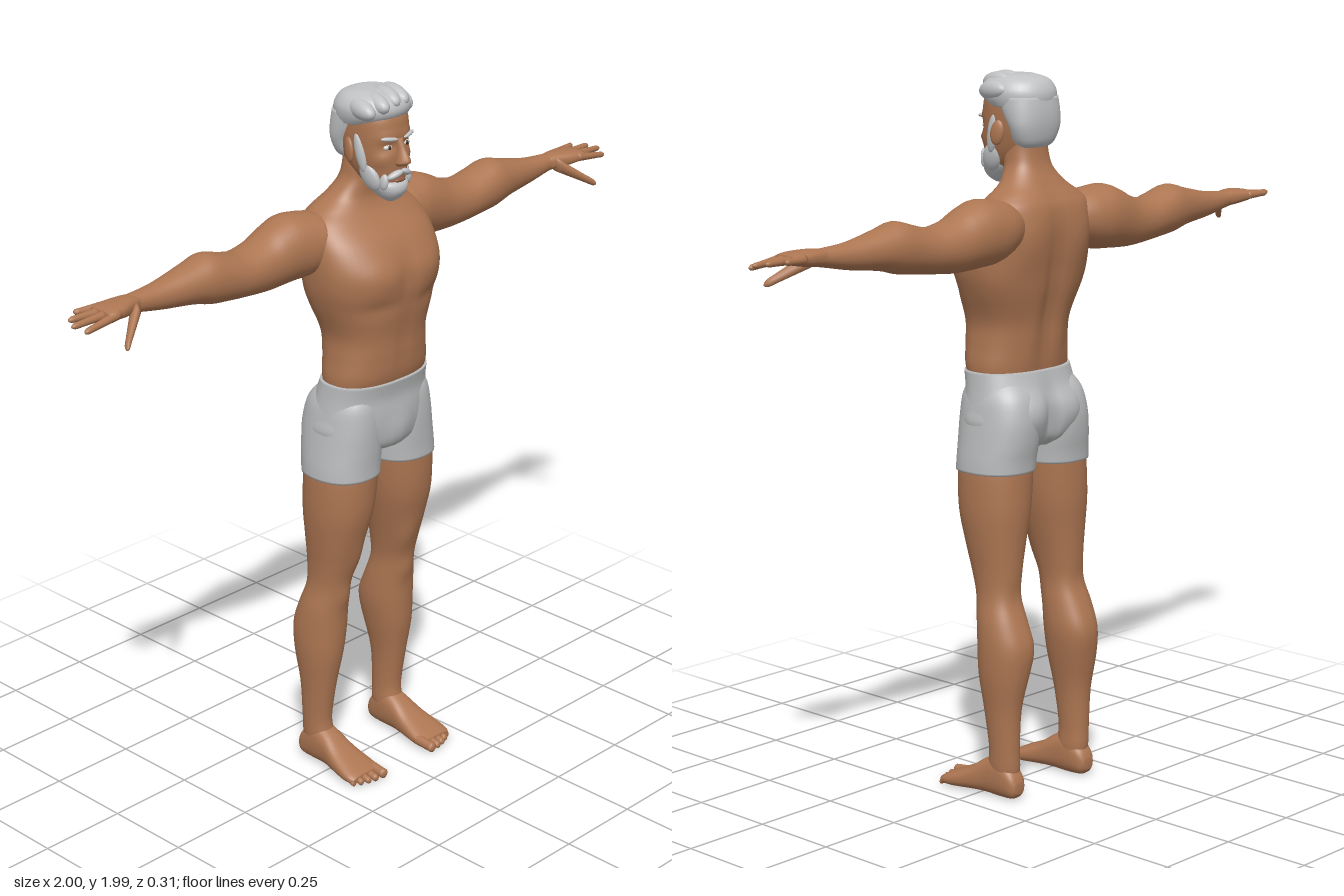
import * as THREE from 'three';

const mat = (name, color) => Object.assign(new THREE.MeshStandardMaterial({ color }), { name });

// Smooth loft of superelliptic rings along an axis. Ring: [t, aMin, aMax, bMin, bMax],
// where (a, b) = (y, z) along x, (z, x) along y and (x, y) along z.
function loft(rings, axis, { n = 2, segs = 32, steps = 4 } = {}) {
  const at = (i) => rings[Math.min(Math.max(i, 0), rings.length - 1)];
  const fine = [];
  for (let i = 0; i < rings.length - 1; i++) {
    for (let s = 0; s < steps; s++) {
      const u = s / steps;
      fine.push(at(i).map((p1, k) => {
        const p0 = at(i - 1)[k], p2 = at(i + 1)[k], p3 = at(i + 2)[k];
        return p1 + 0.5 * u * (p2 - p0 + u * (2 * p0 - 5 * p1 + 4 * p2 - p3 + u * (3 * (p1 - p2) + p3 - p0)));
      }));
    }
  }
  fine.push(at(rings.length));
  const pos = [], idx = [];
  const put = (t, a, b) => pos.push(...(axis === 'x' ? [t, a, b] : axis === 'y' ? [b, t, a] : [a, b, t]));
  const bend = (v) => Math.sign(v) * Math.abs(v) ** (2 / n);
  for (const [t, a0, a1, b0, b1] of fine) {
    for (let j = 0; j < segs; j++) {
      const w = (j / segs) * Math.PI * 2;
      put(t, (a0 + a1) / 2 + (a1 - a0) / 2 * bend(Math.cos(w)), (b0 + b1) / 2 + (b1 - b0) / 2 * bend(Math.sin(w)));
    }
  }
  const last = fine.length - 1, c0 = fine.length * segs;
  for (const f of [fine[0], fine[last]]) put(f[0], (f[1] + f[2]) / 2, (f[3] + f[4]) / 2);
  for (let j = 0; j < segs; j++) {
    const k = (j + 1) % segs;
    for (let i = 0; i < last; i++) {
      const a = i * segs + j, b = i * segs + k;
      idx.push(a, b, b + segs, a, b + segs, a + segs);
    }
    idx.push(c0, k, j, c0 + 1, last * segs + j, last * segs + k);
  }
  const g = new THREE.BufferGeometry();
  g.setAttribute('position', new THREE.Float32BufferAttribute(pos, 3));
  g.setIndex(idx);
  g.computeVertexNormals();
  return g;
}

// Push the surface in or out around points: [x, y, z, rx, ry, rz, amount], on both sides of x = 0.
function swell(g, bumps) {
  const p = g.attributes.position, nor = g.attributes.normal;
  for (let i = 0; i < p.count; i++) {
    let d = 0;
    for (const [x, y, z, rx, ry, rz, amount] of bumps) {
      const q = ((Math.abs(p.getX(i)) - x) / rx) ** 2 + ((p.getY(i) - y) / ry) ** 2 + ((p.getZ(i) - z) / rz) ** 2;
      d += amount * Math.exp(-q);
    }
    p.setXYZ(i, p.getX(i) + nor.getX(i) * d, p.getY(i) + nor.getY(i) * d, p.getZ(i) + nor.getZ(i) * d);
  }
  g.computeVertexNormals();
  return g;
}

function mirrored(g) {
  const m = g.clone().scale(-1, 1, 1), ix = m.index.array;
  for (let i = 0; i < ix.length; i += 3) [ix[i], ix[i + 1]] = [ix[i + 1], ix[i]];
  m.computeVertexNormals();
  return m;
}

export function createModel() {
  const root = new THREE.Group();
  root.name = 'standingMan';
  const skin = mat('skin', 0xad7652), hair = mat('greyHair', 0xc0c2c4), cloth = mat('shortsCloth', 0xb9babb);
  const white = mat('eyeWhite', 0xd8d4cc), dark = mat('iris', 0x3a2a20), lip = mat('lips', 0x8e5844);

  const add = (name, g, m) => {
    const mesh = new THREE.Mesh(g, m);
    mesh.name = name;
    root.add(mesh);
  };
  const pair = (name, g, m) => {
    add(name + 'Left', g, m);
    add(name + 'Right', mirrored(g), m);
  };
  const ball = ([x, y, z], [rx, ry, rz], [ax, ay, az] = [0, 0, 0]) =>
    new THREE.SphereGeometry(1, 20, 14).scale(rx, ry, rz).rotateX(ax).rotateY(ay).rotateZ(az).translate(x, y, z);
  // Tapered round digit running along x or z
  const digit = (from, to, r0, r1, axis) => loft([0, 0.25, 0.5, 0.75, 0.93, 1].map((u, i) => {
    const [x, y, z] = from.map((v, k) => v + (to[k] - v) * u);
    const r = i === 5 ? r1 * 0.35 : r0 + (r1 - r0) * u;
    return axis === 'x' ? [x, y - r, y + r, z - r, z + r] : [z, x - r, x + r, y - r, y + r];
  }), axis, { segs: 12, steps: 2 });

  // Torso and neck, with chest, shoulder blades and spine groove
  const torso = loft([
    [1.15, -0.08, 0.095, -0.155, 0.155], [1.2, -0.088, 0.115, -0.161, 0.161], [1.26, -0.095, 0.122, -0.154, 0.154],
    [1.32, -0.105, 0.126, -0.153, 0.153], [1.4, -0.128, 0.138, -0.178, 0.178], [1.46, -0.138, 0.143, -0.196, 0.196],
    [1.52, -0.145, 0.137, -0.203, 0.203], [1.58, -0.147, 0.105, -0.2, 0.2], [1.63, -0.14, 0.055, -0.185, 0.185],
    [1.66, -0.125, 0.03, -0.15, 0.15], [1.69, -0.105, 0.02, -0.105, 0.105], [1.73, -0.082, 0.024, -0.072, 0.072],
    [1.77, -0.072, 0.03, -0.063, 0.063], [1.82, -0.068, 0.03, -0.06, 0.06],
  ], 'y', { n: 2.4, segs: 56, steps: 5 });
  add('torso', swell(torso, [
    [0.09, 1.49, 0.13, 0.07, 0.05, 0.07, 0.011], [0, 1.5, 0.14, 0.015, 0.07, 0.05, -0.008],
    [0.1, 1.55, -0.14, 0.05, 0.08, 0.06, 0.01], [0, 1.4, -0.14, 0.03, 0.2, 0.07, -0.02],
    [0.05, 1.27, -0.1, 0.03, 0.09, 0.05, 0.006], [0, 1.3, 0.13, 0.012, 0.1, 0.04, -0.004],
    [0.09, 1.41, 0.12, 0.06, 0.02, 0.06, -0.005], [0.17, 1.43, -0.05, 0.04, 0.07, 0.08, 0.006],
  ]), skin);

  // Arms
  pair('arm', loft([
    [0.08, 1.55, 1.63, -0.11, -0.03], [0.15, 1.51, 1.655, -0.145, 0.02], [0.2, 1.492, 1.664, -0.155, 0.02],
    [0.25, 1.488, 1.667, -0.155, 0.012], [0.3, 1.485, 1.65, -0.15, 0.006], [0.35, 1.484, 1.626, -0.145, 0.002],
    [0.42, 1.49, 1.612, -0.14, 0.002], [0.48, 1.496, 1.624, -0.135, 0.002], [0.54, 1.503, 1.639, -0.13, 0],
    [0.6, 1.518, 1.625, -0.121, -0.01], [0.7, 1.531, 1.604, -0.103, -0.028], [0.78, 1.546, 1.597, -0.092, -0.036],
    [0.83, 1.555, 1.595, -0.09, -0.035],
  ], 'x', { n: 2.1 }), skin);

  // Hands: palm, four fingers and thumb
  pair('palm', loft([
    [0.77, 1.55, 1.592, -0.088, -0.04], [0.81, 1.552, 1.597, -0.092, -0.027], [0.85, 1.556, 1.597, -0.097, -0.012],
    [0.885, 1.562, 1.594, -0.099, -0.006], [0.905, 1.568, 1.589, -0.09, -0.012],
  ], 'x', { n: 2.6 }), skin);
  [[-0.088, -0.1, 0.945, 1.58], [-0.064, -0.073, 0.985, 1.577], [-0.04, -0.043, 1, 1.572], [-0.017, -0.012, 0.985, 1.562]]
    .forEach(([z0, z1, x, y], i) =>
      pair('finger' + (i + 1), digit([0.87, 1.578, z0], [x, y, z1], 0.0125, 0.0075, 'x'), skin));
  pair('thumb', digit([0.8, 1.568, -0.035], [0.895, 1.505, 0.035], 0.02, 0.009, 'x'), skin);

  // Legs, with knee and calf
  pair('leg', swell(loft([
    [0.03, -0.105, -0.04, 0.115, 0.165], [0.08, -0.118, -0.022, 0.105, 0.177], [0.14, -0.118, -0.028, 0.106, 0.18],
    [0.25, -0.122, -0.012, 0.098, 0.188], [0.35, -0.14, 0.006, 0.079, 0.2], [0.43, -0.146, 0.012, 0.067, 0.202],
    [0.5, -0.125, 0.016, 0.068, 0.197], [0.57, -0.103, 0.025, 0.073, 0.184], [0.64, -0.102, 0.045, 0.063, 0.186],
    [0.72, -0.107, 0.068, 0.045, 0.196], [0.81, -0.114, 0.09, 0.025, 0.205], [0.92, -0.113, 0.096, 0.012, 0.203],
    [0.97, -0.11, 0.09, 0.012, 0.19],
  ], 'y', { n: 2.15, segs: 40 }), [
    [0.125, 0.54, 0.03, 0.03, 0.035, 0.04, 0.008], [0.1, 0.66, 0.05, 0.025, 0.05, 0.05, 0.006],
    [0.13, 0.55, -0.1, 0.03, 0.05, 0.03, -0.006], [0.1, 0.42, -0.13, 0.025, 0.07, 0.05, 0.005],
  ]), skin);

  // Feet and toes
  pair('foot', loft([
    [-0.13, 0.125, 0.16, 0.02, 0.05], [-0.115, 0.112, 0.173, 0.004, 0.08], [-0.07, 0.104, 0.179, 0, 0.12],
    [-0.02, 0.1, 0.183, 0.002, 0.105], [0.03, 0.093, 0.194, 0.002, 0.073], [0.08, 0.086, 0.203, 0, 0.05],
    [0.11, 0.087, 0.203, 0.002, 0.037], [0.125, 0.095, 0.195, 0.008, 0.028],
  ], 'z', { n: 2.5 }), skin);
  [[0.101, 0.156, 0.016], [0.129, 0.152, 0.012], [0.152, 0.146, 0.011], [0.173, 0.137, 0.011], [0.192, 0.125, 0.01]]
    .forEach(([x, z, r], i) => pair('toe' + (i + 1), digit([x, 0.022, 0.09], [x, r, z], r, r * 0.85, 'z'), skin));

  // Shorts: seat and two short legs
  add('shortsSeat', swell(loft([
    [0.97, -0.08, 0.06, -0.08, 0.08], [0.995, -0.11, 0.095, -0.15, 0.15], [1.04, -0.122, 0.106, -0.189, 0.189],
    [1.09, -0.122, 0.11, -0.181, 0.181], [1.14, -0.105, 0.108, -0.172, 0.172], [1.185, -0.092, 0.116, -0.166, 0.166],
  ], 'y', { n: 2.4, segs: 56, steps: 5 }), [
    [0.08, 1.07, -0.12, 0.055, 0.06, 0.06, 0.018], [0, 1.06, -0.12, 0.02, 0.08, 0.06, -0.02],
    [0, 1.03, 0.11, 0.04, 0.05, 0.05, 0.013],
  ]), cloth);
  pair('shortsLeg', loft([
    [0.915, -0.117, 0.1, 0.008, 0.208], [0.95, -0.12, 0.1, 0.006, 0.205], [1, -0.128, 0.102, 0.004, 0.197],
    [1.06, -0.13, 0.103, 0.006, 0.187], [1.12, -0.115, 0.098, 0.012, 0.174], [1.16, -0.08, 0.08, 0.03, 0.15],
  ], 'y', { n: 2.25, segs: 40 }), cloth);

  // Head, with eye sockets and cheekbones
  add('head', swell(loft([
    [1.705, 0.03, 0.08, -0.025, 0.025], [1.73, -0.005, 0.1, -0.048, 0.048], [1.77, -0.055, 0.107, -0.066, 0.066],
    [1.82, -0.08, 0.108, -0.077, 0.077], [1.87, -0.088, 0.107, -0.081, 0.081], [1.92, -0.083, 0.098, -0.077, 0.077],
    [1.955, -0.05, 0.06, -0.05, 0.05],
  ], 'y', { n: 2.3, segs: 48, steps: 5 }), [
    [0.033, 1.838, 0.1, 0.02, 0.014, 0.04, -0.008], [0.03, 1.867, 0.1, 0.035, 0.012, 0.04, 0.004],
    [0.05, 1.805, 0.09, 0.02, 0.018, 0.04, 0.005],
  ]), skin);
  add('nose', loft([
    [1.785, 0.1, 0.118, -0.012, 0.012], [1.793, 0.09, 0.135, -0.019, 0.019], [1.803, 0.09, 0.142, -0.017, 0.017],
    [1.83, 0.09, 0.126, -0.011, 0.011], [1.86, 0.09, 0.112, -0.011, 0.011],
  ], 'y', { segs: 16 }), skin);
  pair('ear', ball([0.086, 1.825, 0.005], [0.009, 0.034, 0.02], [-0.15, 0.3, 0]), skin);
  pair('eye', ball([0.033, 1.838, 0.094], [0.015, 0.007, 0.008]), white);
  pair('iris', ball([0.033, 1.838, 0.1], [0.005, 0.006, 0.004]), dark);
  pair('eyebrow', ball([0.036, 1.862, 0.103], [0.026, 0.006, 0.008], [0, 0.3, 0.12]), hair);
  add('mouth', ball([0, 1.746, 0.107], [0.02, 0.006, 0.008]), lip);

  // Beard, jaw hair, sideburns and moustache
  add('beard', loft([
    [1.683, 0.065, 0.085, -0.012, 0.012], [1.697, 0.04, 0.104, -0.033, 0.033], [1.715, 0.015, 0.115, -0.046, 0.046],
    [1.732, 0, 0.113, -0.054, 0.054], [1.742, 0, 0.102, -0.055, 0.055],
  ], 'y', { n: 2.3 }), hair);
  pair('jawHair', ball([0.056, 1.755, 0.052], [0.015, 0.042, 0.03], [-0.5, 0, -0.2]), hair);
  pair('sideburn', ball([0.073, 1.82, 0.034], [0.012, 0.055, 0.016], [-0.2, 0, -0.08]), hair);
  pair('moustache', ball([0.021, 1.764, 0.109], [0.025, 0.009, 0.011], [0, 0.35, -0.4]), hair);
  pair('moustacheEnd', ball([0.043, 1.745, 0.09], [0.009, 0.022, 0.014], [0, 0, 0.1]), hair);

  // Hair: crown, back of the head and swept-back locks
  add('hairCrown', loft([
    [1.893, -0.09, 0.07, -0.086, 0.086], [1.915, -0.096, 0.1, -0.094, 0.094], [1.94, -0.092, 0.106, -0.094, 0.094],
    [1.965, -0.072, 0.088, -0.076, 0.076], [1.978, -0.03, 0.045, -0.04, 0.04],
  ], 'y', { n: 2.2 }), hair);
  add('hairBack', loft([
    [1.785, -0.07, -0.04, -0.045, 0.045], [1.8, -0.086, -0.015, -0.066, 0.066], [1.84, -0.096, -0.008, -0.083, 0.083],
    [1.88, -0.098, 0.02, -0.088, 0.088], [1.92, -0.094, 0.045, -0.088, 0.088],
  ], 'y', { n: 2.4 }), hair);
  [[-0.072, 1.938, 0.035], [-0.035, 1.95, 0.05], [0.005, 1.958, 0.05], [0.042, 1.956, 0.045], [0.073, 1.935, 0.03]]
    .forEach(([x, y, z], i) => add('hairLock' + (i + 1), ball([x, y, z], [0.026, 0.027, 0.06], [0.08, -0.25, 0]), hair));
  return root;
}
